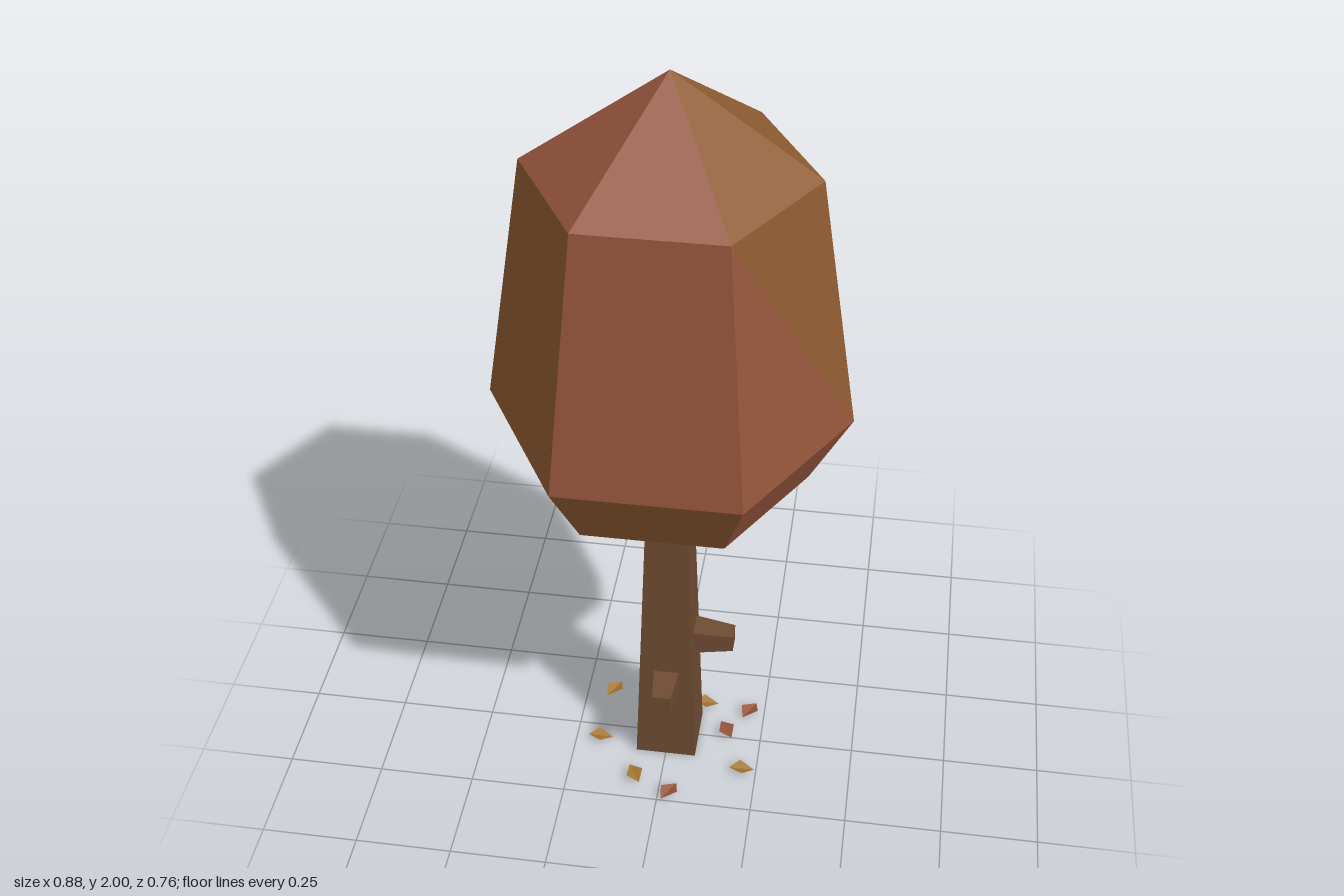
import * as THREE from 'three';

const mat = (color, extra = {}) => new THREE.MeshStandardMaterial({ color, flatShading: true, ...extra });
const rust = mat(0x96553c), ochre = mat(0x8f5c32), bark = mat(0x6e4b32);
const leafRust = mat(0x96553c, { side: THREE.DoubleSide });
const leafGold = mat(0xa5772f, { side: THREE.DoubleSide });

function addMesh(parent, name, geometry, material) {
  const mesh = new THREE.Mesh(geometry, material);
  mesh.name = name;
  parent.add(mesh);
  return mesh;
}

function fromPoints(points) {
  const geometry = new THREE.BufferGeometry().setFromPoints(points);
  geometry.computeVertexNormals();
  return geometry;
}

// Square block along +y, from y0 (half width h0) to y1 (half width h1)
function taperedBlock(y0, h0, y1, h1) {
  const geometry = new THREE.CylinderGeometry(h1 * Math.SQRT2, h0 * Math.SQRT2, y1 - y0, 4);
  return geometry.rotateY(Math.PI / 4).translate(0, (y0 + y1) / 2, 0);
}

// Six-sided crown from rings, with facets shared out between two colours
function createCrown() {
  const crown = new THREE.Group();
  crown.name = 'crown';
  const facets = { r: [], o: [] };
  const corner = (r, y, i) => new THREE.Vector3(r * Math.cos(i * Math.PI / 3), y, r * Math.sin(i * Math.PI / 3));
  const add = (key, ...points) => facets[key].push(...points);
  const rings = [[0.34, 0.94], [0.44, 1.12], [0.34, 1.76]];
  // First letter: lower triangle, second letter: upper triangle
  const bandColors = [
    ['rr', 'oo', 'rr', 'rr', 'rr', 'rr'],
    ['ro', 'rr', 'oo', 'rr', 'ro', 'oo'],
  ];
  const capColors = 'orrrro';
  const apex = new THREE.Vector3(0, 2, 0), base = new THREE.Vector3(0, 0.94, 0);
  for (let i = 0; i < 6; i++) {
    for (let k = 0; k < 2; k++) {
      const [b0, b1] = [corner(...rings[k], i), corner(...rings[k], i + 1)];
      const [t0, t1] = [corner(...rings[k + 1], i), corner(...rings[k + 1], i + 1)];
      const [low, high] = bandColors[k][i];
      if (i % 3 === 1) {
        add(low, b0, t0, b1);
        add(high, t0, t1, b1);
      } else {
        add(low, b0, t1, b1);
        add(high, b0, t0, t1);
      }
    }
    add(capColors[i], corner(...rings[2], i), apex, corner(...rings[2], i + 1));
    add('r', corner(...rings[0], i + 1), base, corner(...rings[0], i));
  }
  addMesh(crown, 'rustFoliage', fromPoints(facets.r), rust);
  addMesh(crown, 'ochreFoliage', fromPoints(facets.o), ochre);
  return crown;
}

// Small four-cornered leaf, folded slightly along its middle
function leafGeometry() {
  const tip = new THREE.Vector3(0.036, 0.013, 0), tail = new THREE.Vector3(-0.032, 0.013, 0);
  const left = new THREE.Vector3(0.004, 0.021, 0.024), right = new THREE.Vector3(-0.004, 0.021, -0.024);
  return fromPoints([tail, left, tip, tail, tip, right]);
}

export function createModel() {
  const tree = new THREE.Group();
  tree.name = 'autumnTree';

  addMesh(tree, 'trunk', taperedBlock(0, 0.08, 0.95, 0.049), bark);
  tree.add(createCrown());

  // Branch stubs: heading around the trunk, height, start, end, half widths
  const stubs = [
    [0, 0.265, 0.05, 0.16, 0.035, 0.024],
    [Math.PI / 2, 0.377, 0.045, 0.17, 0.037, 0.024],
    [Math.PI, 0.668, 0.035, 0.16, 0.035, 0.024],
    [-Math.PI / 2, 0.832, 0.03, 0.145, 0.03, 0.02],
  ];
  for (const [heading, y, start, end, h0, h1] of stubs) {
    const geometry = taperedBlock(start, h0, end, h1).rotateX(Math.PI / 2).rotateY(heading);
    addMesh(tree, 'branchStub', geometry, bark).position.y = y;
  }

  // Fallen leaves around the foot: x, z, gold or rust
  const leaves = [
    [-0.185, 0.055, 1], [-0.07, 0.18, 1], [0.03, 0.225, 0], [0.21, 0.12, 1], [0.155, -0.015, 0],
    [0.21, -0.1, 0], [0.085, -0.11, 1], [-0.07, -0.145, 0], [-0.175, -0.13, 1],
  ];
  const leaf = leafGeometry();
  leaves.forEach(([x, z, gold], i) => {
    const mesh = addMesh(tree, 'fallenLeaf', leaf, gold ? leafGold : leafRust);
    mesh.position.set(x, 0, z);
    mesh.rotation.y = i * 2.1;
  });
  return tree;
}
